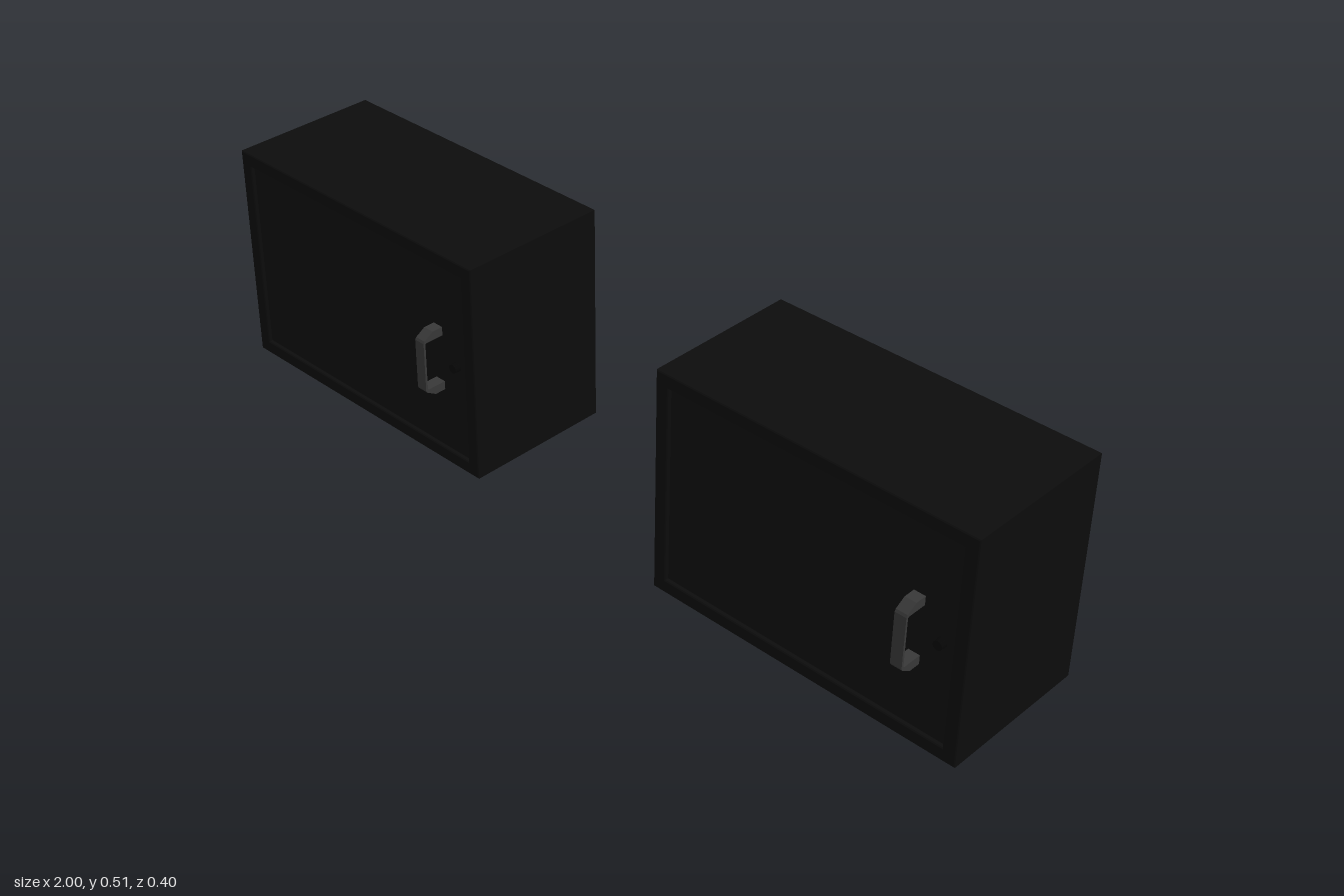
import * as THREE from 'three';

const W = 0.743, H = 0.512, BACK = -0.2, FRONT = 0.155, WALL = 0.03, BEVEL = 0.002;
const DOOR_FACE = 0.148;

const paint = (name, color) => {
  const m = new THREE.MeshStandardMaterial({ color });
  m.name = name;
  return m;
};

const rectangle = (target, w, h) => {
  target.moveTo(-w / 2, -h / 2);
  target.lineTo(w / 2, -h / 2);
  target.lineTo(w / 2, h / 2);
  target.lineTo(-w / 2, h / 2);
  target.closePath();
  return target;
};

function createCabinet(mats) {
  const cabinet = new THREE.Group();
  const add = (name, geometry, material, x, y, z) => {
    const mesh = new THREE.Mesh(geometry, material);
    mesh.name = name;
    mesh.position.set(x, y, z);
    cabinet.add(mesh);
    return mesh;
  };
  const innerW = W - 2 * WALL, innerH = H - 2 * WALL;

  // Four walls as one tube with softened edges
  const outline = rectangle(new THREE.Shape(), W, H);
  outline.holes.push(rectangle(new THREE.Path(), innerW, innerH));
  const shell = new THREE.ExtrudeGeometry(outline, {
    depth: FRONT - BACK - 2 * BEVEL, bevelThickness: BEVEL, bevelSize: BEVEL,
    bevelOffset: -BEVEL, bevelSegments: 1,
  });
  add('shell', shell, mats.body, 0, H / 2, BACK + BEVEL);

  // Back panel closes the tube flush with the rear edge
  add('backPanel', new THREE.BoxGeometry(innerW + 0.004, innerH + 0.004, 0.02), mats.body, 0, H / 2, BACK + 0.0102);

  // Inset door with a narrow gap around it
  add('door', new THREE.BoxGeometry(innerW - 0.006, innerH - 0.006, 0.02), mats.door, 0, H / 2, DOOR_FACE - 0.01);
  add('doorGap', new THREE.BoxGeometry(innerW, innerH, 0.004), mats.dark, 0, H / 2, DOOR_FACE - 0.014);

  // Bracket handle: side profile in (z, y), swept across x
  const half = [[0.145, 0.077], [0.174, 0.077], [0.197, 0.063], [0.2, 0.058]];
  const inner = [[0.195, 0.055], [0.192, 0.057], [0.145, 0.057]];
  const upper = [...inner.slice().reverse(), ...[]];
  const mirrored = (list) => list.map(([z, y]) => [z, -y]).reverse();
  const points = [...half, ...mirrored(half), ...mirrored(upper.slice().reverse()), ...inner];
  const profile = new THREE.Shape(points.map(([z, y]) => new THREE.Vector2(z, y)));
  const grip = new THREE.ExtrudeGeometry(profile, { depth: 0.026, bevelEnabled: false });
  grip.translate(0, 0, -0.013);
  grip.rotateY(-Math.PI / 2);
  add('handle', grip, mats.handle, W / 2 - 0.115, H / 2, 0);

  // Round lock beside the handle
  const lock = new THREE.CylinderGeometry(0.01, 0.011, 0.02, 20).rotateX(Math.PI / 2);
  add('lock', lock, mats.dark, W / 2 - 0.058, H / 2, 0.153);
  return cabinet;
}

export function createModel() {
  const mats = {
    body: paint('black body', 0x0c0c0c),
    door: paint('black door', 0x0f0f0f),
    dark: paint('deep black', 0x060606),
    handle: paint('dark grey handle', 0x383838),
  };
  const model = new THREE.Group();
  model.name = 'cabinetPair';
  for (const side of [-1, 1]) {
    const cabinet = createCabinet(mats);
    cabinet.name = side < 0 ? 'rightCabinet' : 'leftCabinet';
    cabinet.position.x = side * (1 - W / 2);
    model.add(cabinet);
  }
  return model;
}
